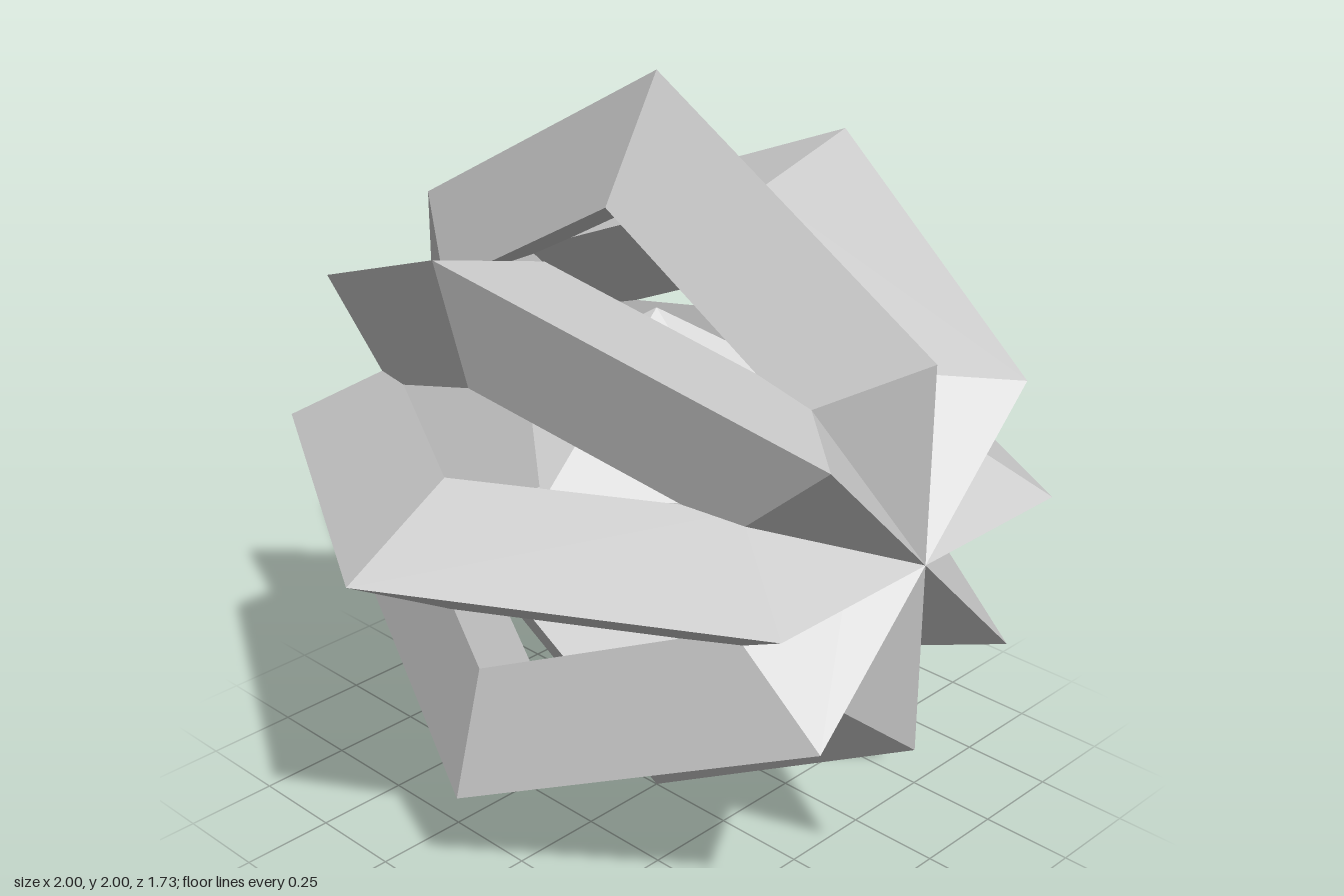
import * as THREE from 'three';

export function createModel() {
  const group = new THREE.Group();
  const material = new THREE.MeshStandardMaterial({ color: 0xcccccc, flatShading: true });

  // Four hexagonal rings of triangular section, all crossing on the z axis
  const ringGeometry = new THREE.TorusGeometry(0.8, 0.2, 3, 6);
  ringGeometry.rotateX(Math.PI / 2);
  for (let i = 0; i < 4; i++) {
    const ring = new THREE.Mesh(ringGeometry, material);
    ring.name = `hexagonRing${i + 1}`;
    ring.rotation.z = (i * Math.PI) / 4;
    ring.position.y = 1;
    group.add(ring);
  }

  // Faceted core held in the middle
  const core = new THREE.Mesh(new THREE.TetrahedronGeometry(0.4, 1), material);
  core.name = 'core';
  core.position.y = 1;
  group.add(core);

  return group;
}
